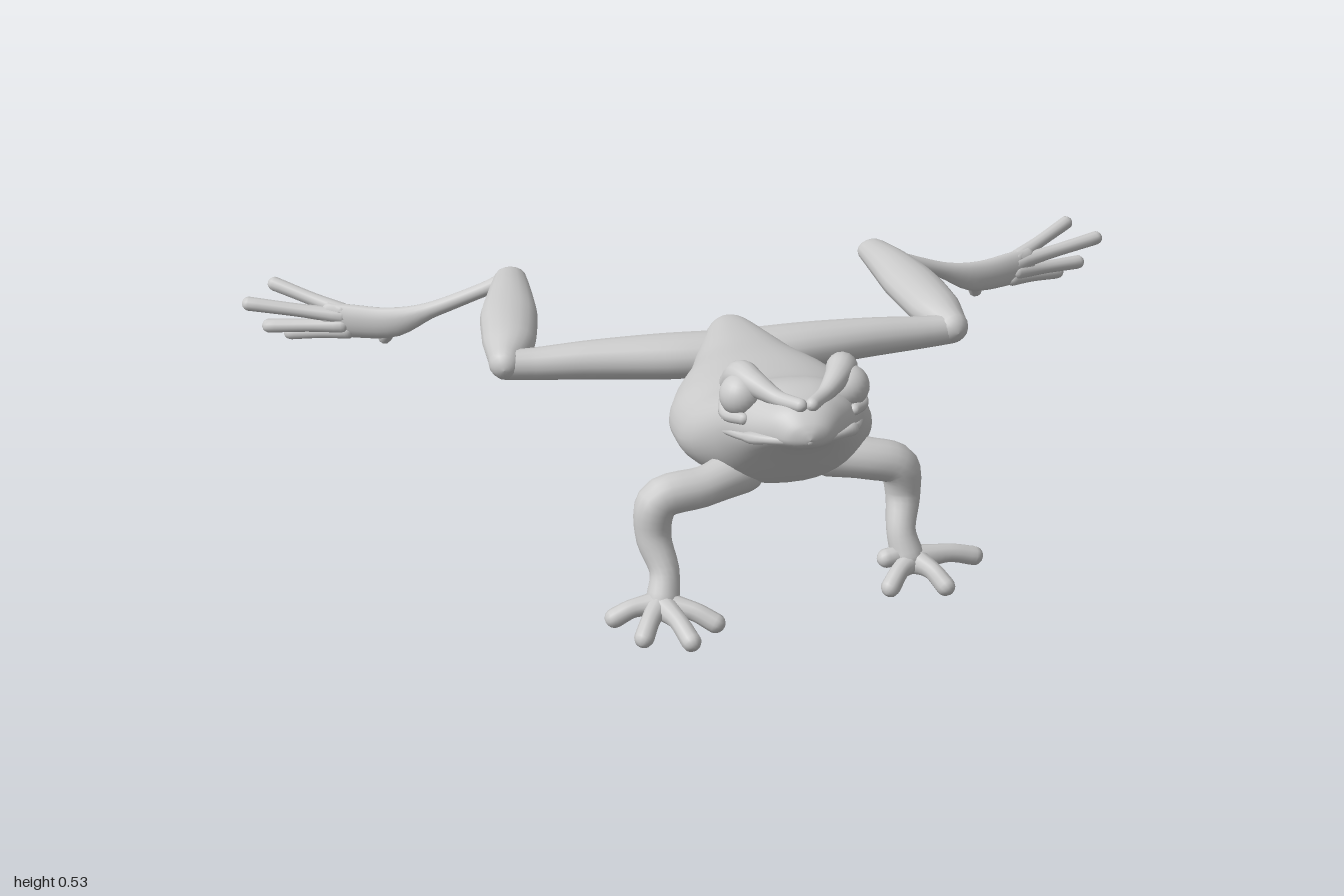
import * as THREE from 'three';

const V = (x, y, z) => new THREE.Vector3(x, y, z);
const material = new THREE.MeshStandardMaterial({ color: 0xcccccc, side: THREE.DoubleSide });

// Skin a list of rings (equal point counts) with smooth shared normals
function skin(name, rings) {
  const n = rings[0].length, index = [];
  for (let i = 0; i < rings.length - 1; i++) {
    for (let j = 0; j < n; j++) {
      const k = (j + 1) % n, a = i * n, b = a + n;
      index.push(a + j, a + k, b + j, a + k, b + k, b + j);
    }
  }
  const g = new THREE.BufferGeometry().setFromPoints(rings.flat());
  g.setIndex(index);
  g.computeVertexNormals();
  const mesh = new THREE.Mesh(g, material);
  mesh.name = name;
  return mesh;
}

// Round-ended limb through [x, y, z, radius along ref, radius across]
function limb(name, pts, ref = V(0, 1, 0), steps = 24, sides = 16) {
  const path = new THREE.CatmullRomCurve3(pts.map(p => V(p[0], p[1], p[2])));
  const size = new THREE.CatmullRomCurve3(pts.map(p => V(p[3], p[4] ?? p[3], 0)));
  const rings = [];
  const ring = (t, shift, scale) => {
    const c = path.getPoint(t), r = size.getPoint(t), dir = path.getTangent(t);
    const u = ref.clone().addScaledVector(dir, -ref.dot(dir)).normalize();
    const v = dir.clone().cross(u);
    c.addScaledVector(dir, shift * Math.min(r.x, r.y));
    rings.push(Array.from({ length: sides }, (_, j) => {
      const a = j / sides * Math.PI * 2;
      return c.clone().addScaledVector(u, Math.cos(a) * r.x * scale)
        .addScaledVector(v, Math.sin(a) * r.y * scale);
    }));
  };
  const cap = [0, 0.2, 0.4, 0.6, 0.8].map(k => k * Math.PI / 2);
  for (const a of cap) ring(0, -Math.cos(a), Math.sin(a));
  for (let i = 0; i <= steps; i++) ring(i / steps, 0, 1);
  for (const a of cap.reverse()) ring(1, Math.cos(a), Math.sin(a));
  return skin(name, rings);
}

// Trunk and head: [z, half width, bottom, widest height, top]
function makeBody() {
  const s = [
    [-0.135, 0.005, 0.27, 0.285, 0.3], [-0.11, 0.05, 0.215, 0.26, 0.315],
    [0, 0.092, 0.203, 0.26, 0.337], [0.1, 0.125, 0.2, 0.265, 0.355],
    [0.2, 0.172, 0.2, 0.27, 0.375], [0.3, 0.2, 0.2, 0.28, 0.392],
    [0.4, 0.198, 0.203, 0.295, 0.415], [0.46, 0.183, 0.213, 0.32, 0.44],
    [0.53, 0.155, 0.242, 0.365, 0.475], [0.585, 0.138, 0.288, 0.4, 0.492],
    [0.65, 0.108, 0.355, 0.42, 0.494], [0.7, 0.075, 0.4, 0.435, 0.495],
    [0.733, 0.042, 0.42, 0.44, 0.472], [0.747, 0.004, 0.435, 0.443, 0.45],
  ];
  const spine = new THREE.CatmullRomCurve3(s.map(p => V(p[0], p[2], p[4])));
  const girth = new THREE.CatmullRomCurve3(s.map(p => V(p[1], p[3], 0)));
  const rings = [], steps = 65, sides = 40;
  for (let i = 0; i <= steps; i++) {
    const p = spine.getPoint(i / steps), q = girth.getPoint(i / steps);
    const closed = i === 0 || i === steps ? 0 : 1;
    rings.push(Array.from({ length: sides }, (_, j) => {
      const a = j / sides * Math.PI * 2, c = Math.cos(a), h = Math.sin(a);
      const x = Math.sign(c) * Math.abs(c) ** 0.85 * q.x;
      const y = h > 0 ? (p.z - q.y) * h : (q.y - p.y) * h;
      return V(x * closed, q.y + y * closed, p.x);
    }));
  }
  return skin('body', rings);
}

// One arm with palm and fingers
function makeArm(name, path, palm, tips) {
  const g = new THREE.Group();
  g.name = name;
  g.add(limb('arm', path, V(0, 0, 1)));
  for (const [x, y, z] of tips) {
    const at = k => [palm[0] + (x - palm[0]) * k, palm[2] + (z - palm[2]) * k];
    const [mx, mz] = at(0.5), [ex, ez] = at(0.85);
    g.add(limb('finger', [[palm[0], palm[1], palm[2], 0.03],
      [mx, (palm[1] + y) / 2 + 0.008, mz, 0.019],
      [ex, y, ez, 0.02]], V(0, 1, 0), 10, 10));
  }
  return g;
}

// Hind leg on side s (+1 left, -1 right)
function makeHindLeg(s) {
  const m = pts => pts.map(([x, ...rest]) => [x * s, ...rest]);
  const g = new THREE.Group();
  g.name = s > 0 ? 'leftHindLeg' : 'rightHindLeg';
  g.add(limb('thigh', m([[0.03, 0.26, -0.045, 0.045, 0.06], [0.12, 0.258, -0.05, 0.048, 0.058],
    [0.3, 0.255, -0.07, 0.042, 0.042], [0.42, 0.25, -0.083, 0.035, 0.033],
    [0.485, 0.25, -0.088, 0.032, 0.028]])));
  g.add(limb('shin', m([[0.483, 0.255, -0.09, 0.036, 0.036], [0.465, 0.262, -0.17, 0.041, 0.057],
    [0.448, 0.258, -0.3, 0.04, 0.062], [0.427, 0.25, -0.44, 0.035, 0.049],
    [0.412, 0.238, -0.55, 0.026, 0.036]])));
  g.add(limb('foot', m([[0.41, 0.235, -0.555, 0.022, 0.02], [0.48, 0.2, -0.575, 0.016, 0.016],
    [0.58, 0.155, -0.598, 0.018, 0.016], [0.67, 0.118, -0.625, 0.036, 0.02],
    [0.76, 0.113, -0.66, 0.04, 0.021], [0.81, 0.115, -0.678, 0.04, 0.018]])));
  // Four long toes and a short inner toe
  const toes = [
    [[0.78, 0.135, -0.67], [0.92, 0.172, -0.762]],
    [[0.78, 0.125, -0.665], [0.982, 0.146, -0.722]],
    [[0.78, 0.105, -0.66], [0.94, 0.09, -0.718]],
    [[0.77, 0.09, -0.66], [0.892, 0.067, -0.722]],
    [[0.67, 0.1, -0.635], [0.685, 0.06, -0.675]],
  ];
  for (const [a, b] of toes) {
    const mid = a.map((v, i) => (v + b[i]) / 2);
    g.add(limb('toe', m([[...a, 0.019], [...mid, 0.015], [...b, 0.016]]), V(0, 0, 1), 10, 10));
  }
  return g;
}

// Eye, lid, and the brow ridge running to the nose
function makeEye(s) {
  const g = new THREE.Group();
  g.name = s > 0 ? 'leftEye' : 'rightEye';
  const ball = new THREE.Mesh(new THREE.SphereGeometry(0.043, 24, 16), material);
  ball.name = 'eyeball';
  ball.position.set(0.106 * s, 0.474, 0.588);
  g.add(ball);
  g.add(limb('brow', [[0.112 * s, 0.472, 0.525, 0.025], [0.1 * s, 0.501, 0.56, 0.031],
    [0.083 * s, 0.502, 0.6, 0.026], [0.045 * s, 0.492, 0.655, 0.016],
    [0.012 * s, 0.497, 0.702, 0.014]]));
  g.add(limb('lowerLid', [[0.128 * s, 0.45, 0.545, 0.014], [0.136 * s, 0.435, 0.585, 0.013],
    [0.11 * s, 0.443, 0.632, 0.012]], V(0, 1, 0), 12, 10));
  g.add(limb('lip', [[0.134 * s, 0.392, 0.575, 0.008], [0.108 * s, 0.412, 0.648, 0.009],
    [0.073 * s, 0.428, 0.7, 0.009], [0, 0.437, 0.738, 0.009]], V(0, 1, 0), 16, 8));
  return g;
}

export function createModel() {
  const frog = new THREE.Group();
  frog.name = 'frog';
  frog.add(makeBody());
  for (const s of [1, -1]) frog.add(makeEye(s), makeHindLeg(s));

  // The two arms are posed differently
  frog.add(makeArm('leftArm',
    [[0.1, 0.265, 0.46, 0.05], [0.17, 0.255, 0.48, 0.043], [0.235, 0.232, 0.48, 0.042],
      [0.246, 0.17, 0.482, 0.036], [0.235, 0.105, 0.52, 0.03], [0.245, 0.055, 0.54, 0.034]],
    [0.255, 0.048, 0.54],
    [[0.41, 0.032, 0.517], [0.315, 0.022, 0.63], [0.185, 0.026, 0.62], [0.19, 0.06, 0.55]]));
  frog.add(makeArm('rightArm',
    [[-0.09, 0.265, 0.5, 0.05], [-0.17, 0.255, 0.54, 0.041], [-0.265, 0.24, 0.555, 0.042],
      [-0.278, 0.17, 0.565, 0.036], [-0.262, 0.105, 0.6, 0.03], [-0.27, 0.055, 0.625, 0.034]],
    [-0.275, 0.048, 0.63],
    [[-0.385, 0.032, 0.64], [-0.33, 0.022, 0.725], [-0.228, 0.026, 0.77], [-0.158, 0.026, 0.695]]));
  return frog;
}
